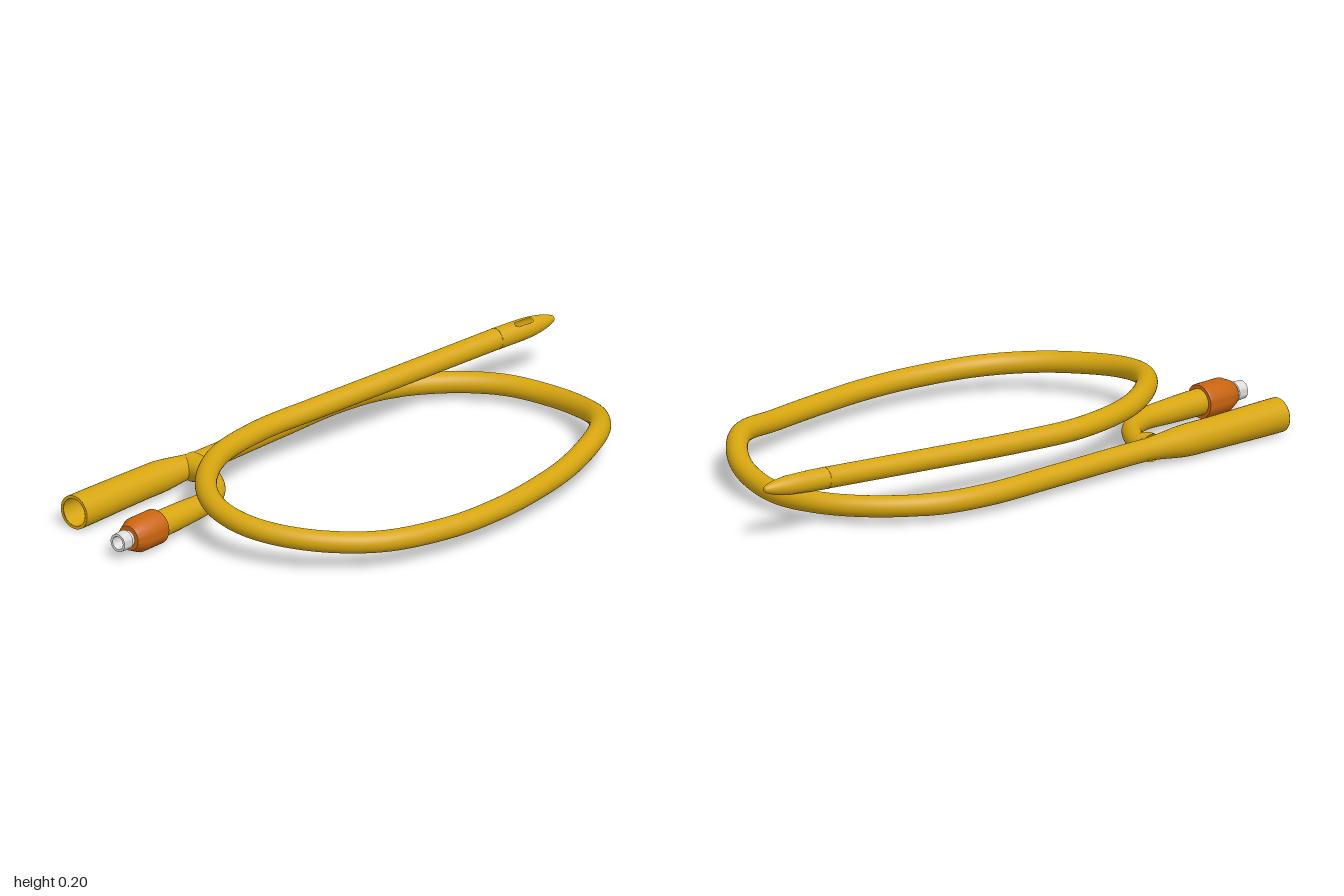
import * as THREE from 'three';
import { toCreasedNormals } from 'three/addons/utils/BufferGeometryUtils.js';

const V = (x, y, z) => new THREE.Vector3(x, y, z);
const curveOf = pts => new THREE.CatmullRomCurve3(pts.map(p => V(...p)));

// Tube along a curve whose radius follows a rule of the centre point
function sweep(curve, segs, radiusAt, sides = 32) {
  const geo = new THREE.TubeGeometry(curve, segs, 1, sides);
  const pos = geo.attributes.position, nor = geo.attributes.normal;
  for (let i = 0; i <= segs; i++) {
    const r = radiusAt(curve.getPointAt(i / segs));
    for (let j = 0; j <= sides; j++) {
      const k = i * (sides + 1) + j;
      pos.setXYZ(k,
        pos.getX(k) - nor.getX(k) * (1 - r),
        pos.getY(k) - nor.getY(k) * (1 - r),
        pos.getZ(k) - nor.getZ(k) * (1 - r));
    }
  }
  return geo;
}

// Piecewise linear rule from [position, value] pairs, eased between them
function ramp(x, stops) {
  if (x <= stops[0][0]) return stops[0][1];
  for (let i = 1; i < stops.length; i++) {
    const [a, u] = stops[i - 1], [b, v] = stops[i];
    if (x <= b) return u + (v - u) * THREE.MathUtils.smoothstep(x, a, b);
  }
  return stops[stops.length - 1][1];
}

// Turned part along -x, from [distance, radius] pairs
function turned(points) {
  const geo = new THREE.LatheGeometry(points.map(([d, r]) => new THREE.Vector2(r, d)), 40);
  return toCreasedNormals(geo.rotateZ(Math.PI / 2), 0.5);
}

export function createModel() {
  const group = new THREE.Group();
  const material = (name, color) => {
    const m = new THREE.MeshStandardMaterial({ color, side: THREE.DoubleSide });
    m.name = name;
    return m;
  };
  const rubber = material('yellow rubber', 0xd6a50f);
  const orange = material('orange plastic', 0xc9640f);
  const white = material('white plastic', 0xdedede);
  const add = (name, geo, mat) => {
    const mesh = new THREE.Mesh(geo, mat);
    mesh.name = name;
    group.add(mesh);
    return mesh;
  };

  // Long tube: funnel end, back run, loop, then the straight run to the tip
  const tipStart = V(0.77, 0.173, -0.246), tipEnd = V(1.0, 0.178, -0.213);
  const path = curveOf([
    [-0.91, 0.06, -0.494], [-0.55, 0.06, -0.485], [-0.36, 0.06, -0.469],
    [0, 0.06, -0.464], [0.28, 0.06, -0.458], [0.46, 0.06, -0.415],
    [0.62, 0.06, -0.3], [0.715, 0.06, -0.16], [0.745, 0.06, 0],
    [0.71, 0.077, 0.17], [0.64, 0.1, 0.29], [0.53, 0.114, 0.385],
    [0.32, 0.093, 0.455], [0.1, 0.086, 0.492], [-0.09, 0.085, 0.504],
    [-0.28, 0.086, 0.488], [-0.5, 0.092, 0.418], [-0.64, 0.102, 0.3],
    [-0.72, 0.113, 0.16], [-0.744, 0.125, 0.04], [-0.72, 0.138, -0.08],
    [-0.63, 0.148, -0.2], [-0.44, 0.148, -0.318], [-0.2, 0.145, -0.36],
    [0.03, 0.148, -0.342], [0.4, 0.16, -0.294], tipStart.toArray(),
  ]);
  const funnelStops = [[-0.91, 0.055], [-0.55, 0.051], [-0.36, 0.035]];
  const tubeRadius = p => (p.z < -0.4 ? ramp(p.x, funnelStops) : 0.034);
  add('mainTube', sweep(path, 320, tubeRadius), rubber);

  // Hollow mouth of the funnel
  const mouth = new THREE.LineCurve3(V(-0.91, 0.06, -0.494), V(-0.5, 0.06, -0.483));
  add('funnelBore', sweep(mouth, 12, p => ramp(p.x, [[-0.91, 0.045], [-0.5, 0.025]])), rubber);
  const rim = add('funnelRim', new THREE.RingGeometry(0.045, 0.055, 40), rubber);
  rim.position.set(-0.91, 0.06, -0.494);
  rim.rotation.y = -Math.PI / 2;

  // Side arm branching off to the valve
  const arm = curveOf([
    [-0.4, 0.06, -0.47], [-0.405, 0.06, -0.42], [-0.425, 0.06, -0.365],
    [-0.49, 0.06, -0.285], [-0.58, 0.06, -0.243], [-0.7, 0.06, -0.237], [-0.83, 0.06, -0.235],
  ]);
  const armRadius = p => (p.z < -0.37
    ? ramp(p.z, [[-0.45, 0.045], [-0.39, 0.031]])
    : ramp(p.x, [[-0.8, 0.042], [-0.45, 0.031]]));
  add('sideArm', sweep(arm, 80, armRadius), rubber);

  // Valve collar with chamfered ends, and the hollow nozzle
  const collar = add('valveCollar', turned([
    [0, 0.036], [0, 0.053], [0.005, 0.056], [0.095, 0.056], [0.13, 0.04], [0.13, 0.02],
  ]), orange);
  collar.position.set(-0.82, 0.06, -0.235);
  const nozzle = add('valveNozzle', turned([
    [0, 0.026], [0.015, 0.026], [0.018, 0.031], [0.055, 0.029], [0.055, 0.021], [0, 0.018], [0, 0],
  ]), white);
  nozzle.position.set(-0.945, 0.06, -0.235);

  // Rounded tip with an elongated eye cut through it
  const length = tipStart.distanceTo(tipEnd);
  const profile = new THREE.SplineCurve([
    [0.034, 0], [0.034, 0.05], [0.0335, 0.1], [0.031, 0.14], [0.025, 0.18],
    [0.017, 0.21], [0.009, length - 0.004], [0, length],
  ].map(p => new THREE.Vector2(...p))).getPoints(70);
  profile[profile.length - 1].x = 0;
  const tipGeo = new THREE.LatheGeometry(profile, 80);
  const dir = tipEnd.clone().sub(tipStart).normalize();
  tipGeo.applyQuaternion(new THREE.Quaternion().setFromUnitVectors(V(0, 1, 0), dir));
  const eyeSide = new THREE.Vector3().crossVectors(dir, V(0, 1, 0.45)).normalize();
  const kept = [], idx = tipGeo.index.array, pos = tipGeo.attributes.position;
  const corner = i => new THREE.Vector3().fromBufferAttribute(pos, i);
  for (let i = 0; i < idx.length; i += 3) {
    const c = corner(idx[i]).add(corner(idx[i + 1])).add(corner(idx[i + 2])).divideScalar(3);
    const along = Math.max(0, Math.abs(c.dot(dir) - 0.102) - 0.026);
    if (Math.hypot(along, c.dot(eyeSide)) > 0.01) kept.push(idx[i], idx[i + 1], idx[i + 2]);
  }
  tipGeo.setIndex(kept);
  add('tip', tipGeo, rubber).position.copy(tipStart);

  // Fine seam where the tip joins the tube
  const seam = add('tipSeam', new THREE.TorusGeometry(0.0335, 0.0015, 8, 40), rubber);
  seam.position.copy(tipStart);
  seam.quaternion.setFromUnitVectors(V(0, 0, 1), dir);

  return group;
}
